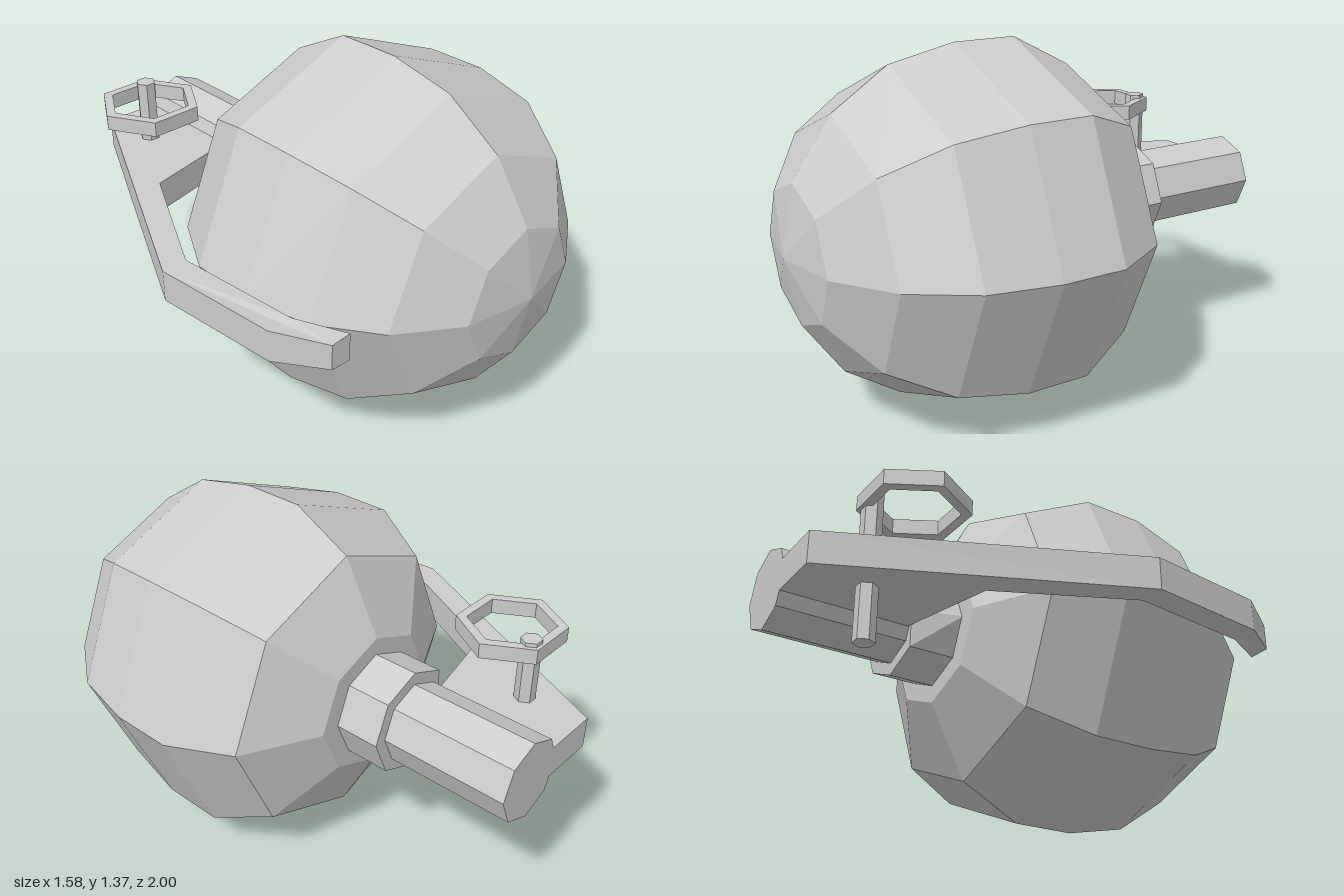
import * as THREE from 'three';

const AXIS_X = 0.08, AXIS_Y = 0.683;

export function createModel() {
  const group = new THREE.Group();
  const material = new THREE.MeshStandardMaterial({ color: 0xcccccc, flatShading: true });

  const add = (name, geometry, x, y, z) => {
    const mesh = new THREE.Mesh(geometry, material);
    mesh.name = name;
    mesh.position.set(x, y, z);
    group.add(mesh);
    return mesh;
  };

  // Eight-sided turned shape along z; profile is [radius, z] from back to front
  const turned = (profile) => {
    const points = profile.map(([r, z]) => new THREE.Vector2(r, z));
    return new THREE.LatheGeometry(points, 8).rotateX(Math.PI / 2);
  };

  // Faceted round body, slightly wider than tall
  const body = turned([
    [0, -0.315], [0.278, -0.315], [0.56, -0.167], [0.683, 0.07], [0.683, 0.32],
    [0.628, 0.58], [0.481, 0.8], [0.262, 0.95], [0, 1],
  ]);
  body.scale(1.036, 1, 1);
  add('body', body, AXIS_X, AXIS_Y, 0);

  // Collar, with its corner on the lever side cut away towards the back
  const collar = turned([[0, -0.495], [0.209, -0.495], [0.209, -0.31], [0, -0.31]]);
  const cp = collar.attributes.position;
  for (let i = 0; i < cp.count; i++) {
    if (cp.getX(i) < -0.2 && cp.getZ(i) < -0.4) cp.setX(i, -0.148);
  }
  add('collar', collar, AXIS_X, AXIS_Y, 0);

  // Fuse stem
  add('fuseStem', turned([[0, -1], [0.16, -1], [0.16, -0.45], [0, -0.45]]), AXIS_X, AXIS_Y, 0);

  // Safety lever: outline as [x, z], extruded upwards
  const outline = [
    [-0.05, -1], [-0.28, -1], [-0.79, 0.08], [-0.74, 0.575], [-0.63, 0.757],
    [-0.55, 0.757], [-0.64, 0.575], [-0.69, 0.08], [-0.445, -0.412], [-0.05, -0.5],
  ];
  const leverShape = new THREE.Shape(outline.map(([x, z]) => new THREE.Vector2(x, -z)));
  const lever = new THREE.ExtrudeGeometry(leverShape, { depth: 0.125, bevelEnabled: false });
  lever.translate(0, 0, -0.0625).rotateX(-Math.PI / 2);
  // Thin the free tip slightly
  const lp = lever.attributes.position;
  for (let i = 0; i < lp.count; i++) {
    if (lp.getZ(i) > 0.7) lp.setY(i, lp.getY(i) * (lp.getX(i) < -0.6 ? 0.8 : 0.88));
  }
  add('lever', lever, 0, AXIS_Y, 0);

  // Hexagonal pin through the lever
  add('pin', new THREE.CylinderGeometry(0.04, 0.04, 0.59, 6).rotateY(Math.PI / 6), -0.24, 0.705, -0.76);

  // Hexagonal pull ring
  const hexagon = (r) => Array.from({ length: 6 }, (_, i) =>
    new THREE.Vector2(r * Math.cos(i * Math.PI / 3), r * Math.sin(i * Math.PI / 3)));
  const ringShape = new THREE.Shape(hexagon(0.205));
  ringShape.holes.push(new THREE.Path(hexagon(0.165)));
  const ring = new THREE.ExtrudeGeometry(ringShape, { depth: 0.06, bevelEnabled: false });
  add('pullRing', ring.rotateX(-Math.PI / 2), -0.312, 0.925, -0.63);

  return group;
}
